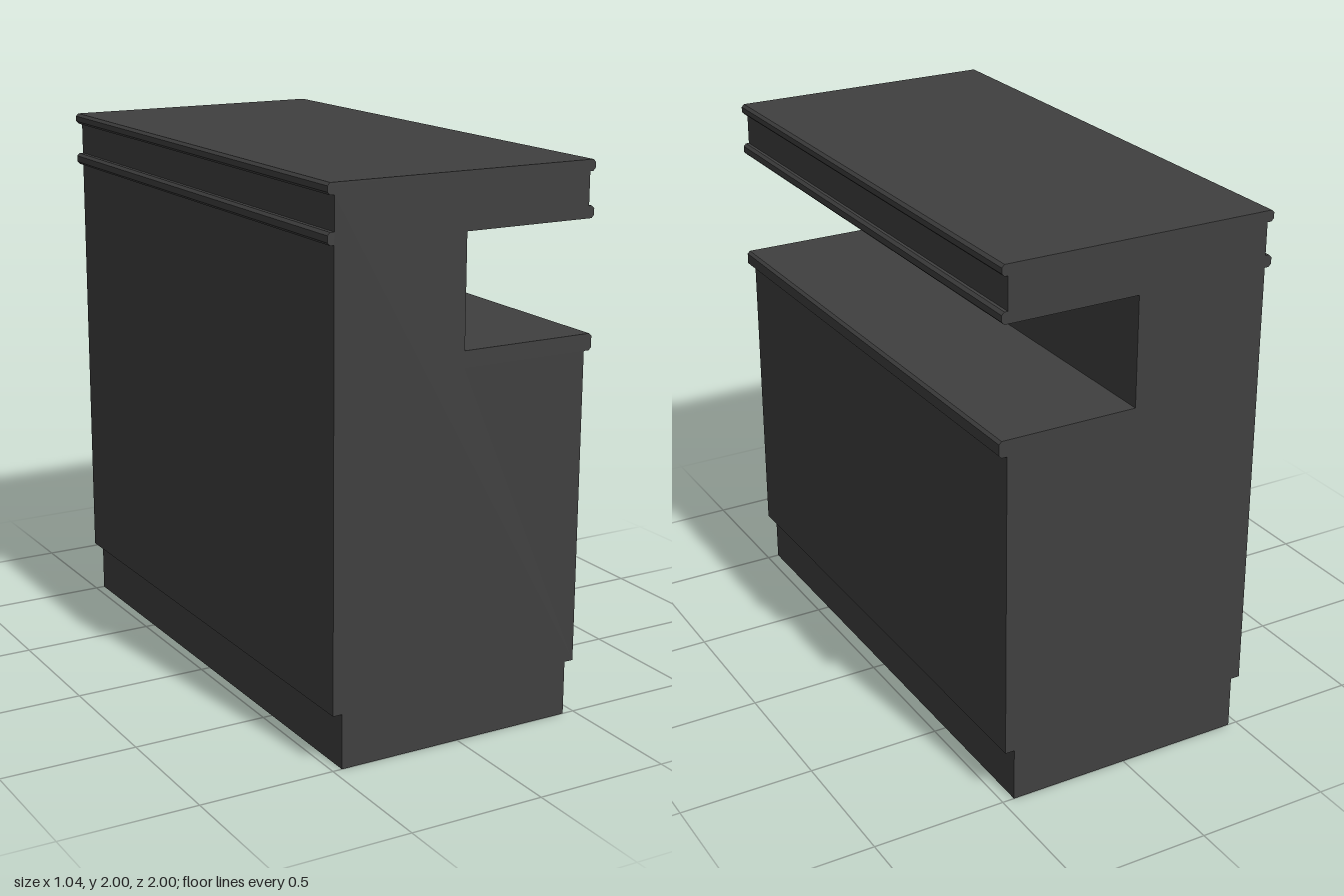
import * as THREE from 'three';

const DEPTH = 2;
const material = new THREE.MeshStandardMaterial({ color: 0x404040, flatShading: true });

// Extrude an x/y outline (counter-clockwise) along the full depth, centred on z = 0
function prism(name, points) {
  const shape = new THREE.Shape(points.map(([x, y]) => new THREE.Vector2(x, y)));
  const geometry = new THREE.ExtrudeGeometry(shape, { depth: DEPTH, bevelEnabled: false });
  geometry.translate(0, 0, -DEPTH / 2);
  const mesh = new THREE.Mesh(geometry, material);
  mesh.name = name;
  return mesh;
}

// Rectangle outline with small chamfers on the left and/or right ends
function slab(x0, x1, y0, y1, left, right) {
  const points = [];
  const c = 0.01;
  if (left) points.push([x0, y1 - c], [x0, y0 + c], [x0 + c, y0]);
  else points.push([x0, y1], [x0, y0]);
  if (right) points.push([x1 - c, y0], [x1, y0 + c], [x1, y1 - c], [x1 - c, y1]);
  else points.push([x1, y0], [x1, y1]);
  if (left) points.push([x0 + c, y1]);
  return points;
}

export function createModel() {
  const group = new THREE.Group();
  group.name = 'serviceCounter';

  // Recessed base
  group.add(prism('plinth', slab(-0.465, 0.455, 0, 0.2)));

  // Cabinet, back wall and overhanging upper shelf in one outline
  group.add(prism('cabinetBody', [
    [-0.5, 0.2], [0.49, 0.2], [0.49, 1.34], [0, 1.34],
    [0, 1.8], [0.49, 1.8], [0.49, 1.96], [-0.5, 1.96],
  ]));

  // Work surface inside the opening
  group.add(prism('workSurface', slab(0, 0.52, 1.34, 1.4, false, true)));

  // Top slab and the trim strips below it
  group.add(prism('topSlab', slab(-0.525, 0.512, 1.96, 2, true, true)));
  group.add(prism('leftTrim', slab(0.49, 0.512, 1.8, 1.843, false, true)));
  group.add(prism('rightTrim', slab(-0.525, -0.5, 1.8, 1.843, true, false)));

  return group;
}
